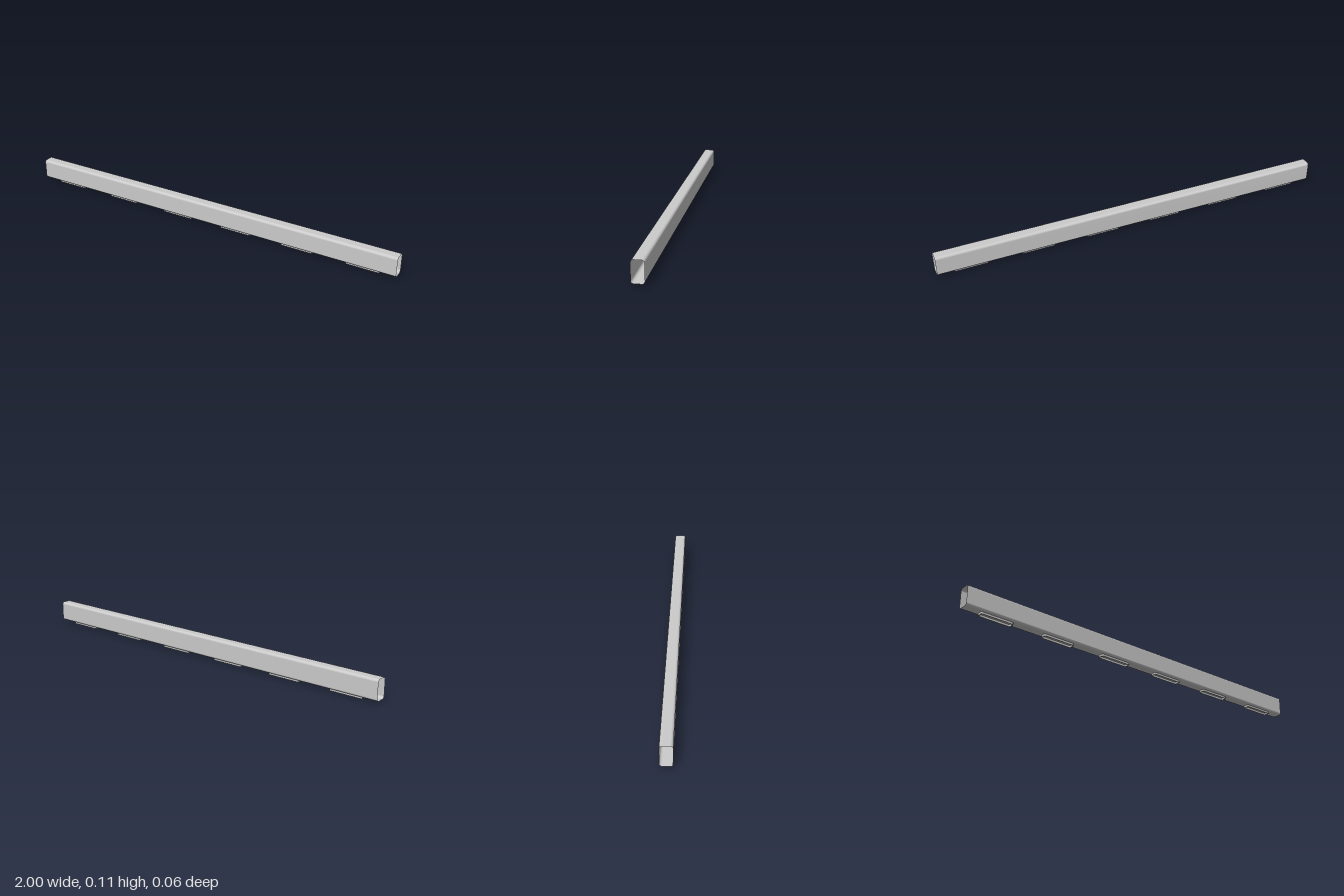
import * as THREE from 'three';

const LENGTH = 2;
const BOTTOM = 0.01, TOP = 0.111, HALF_DEPTH = 0.029, CORNER = 0.012;

// Rounded rectangle outline centred on the origin
function roundedRect(target, w, h, r) {
  const x = w / 2, y = h / 2;
  target.moveTo(x, -y + r);
  target.lineTo(x, y - r);
  target.absarc(x - r, y - r, r, 0, Math.PI / 2);
  target.lineTo(-x + r, y);
  target.absarc(-x + r, y - r, r, Math.PI / 2, Math.PI);
  target.lineTo(-x, -y + r);
  target.absarc(-x + r, -y + r, r, Math.PI, Math.PI * 1.5);
  target.lineTo(x - r, -y);
  target.absarc(x - r, -y + r, r, Math.PI * 1.5, Math.PI * 2);
  return target;
}

// Open thin-walled tube: the cross-section swept along x
function tubeGeometry() {
  const outline = roundedRect(new THREE.Shape(), HALF_DEPTH * 2, TOP - BOTTOM, CORNER).getPoints(6);
  const section = outline.filter((p, i) => i === 0 || p.distanceTo(outline[i - 1]) > 1e-5);
  if (section[0].distanceTo(section[section.length - 1]) < 1e-5) section.pop();
  const n = section.length, positions = [], indices = [];
  for (const x of [-LENGTH / 2, LENGTH / 2]) {
    for (const p of section) positions.push(x, p.y + (TOP + BOTTOM) / 2, p.x);
  }
  for (let i = 0; i < n; i++) {
    const j = (i + 1) % n;
    indices.push(i, n + i, j, j, n + i, n + j);
  }
  const geometry = new THREE.BufferGeometry();
  geometry.setAttribute('position', new THREE.Float32BufferAttribute(positions, 3));
  geometry.setIndex(indices);
  geometry.computeVertexNormals();
  return geometry;
}

export function createModel() {
  const group = new THREE.Group();
  const material = new THREE.MeshStandardMaterial({ color: 0xcccccc, side: THREE.DoubleSide });

  const tube = new THREE.Mesh(tubeGeometry(), material);
  tube.name = 'tube';
  group.add(tube);

  // Raised slot rims, evenly spaced along the underside
  const rimShape = roundedRect(new THREE.Shape(), 0.167, 0.034, 0.008);
  rimShape.holes.push(roundedRect(new THREE.Path(), 0.159, 0.026, 0.005));
  const rimGeometry = new THREE.ExtrudeGeometry(rimShape, { depth: BOTTOM, bevelEnabled: false, curveSegments: 5 });
  rimGeometry.rotateX(-Math.PI / 2);
  const count = 6;
  for (let i = 0; i < count; i++) {
    const rim = new THREE.Mesh(rimGeometry, material);
    rim.name = 'slotRim' + (i + 1);
    rim.position.x = ((i + 0.5) / count - 0.5) * LENGTH;
    group.add(rim);
  }
  return group;
}
